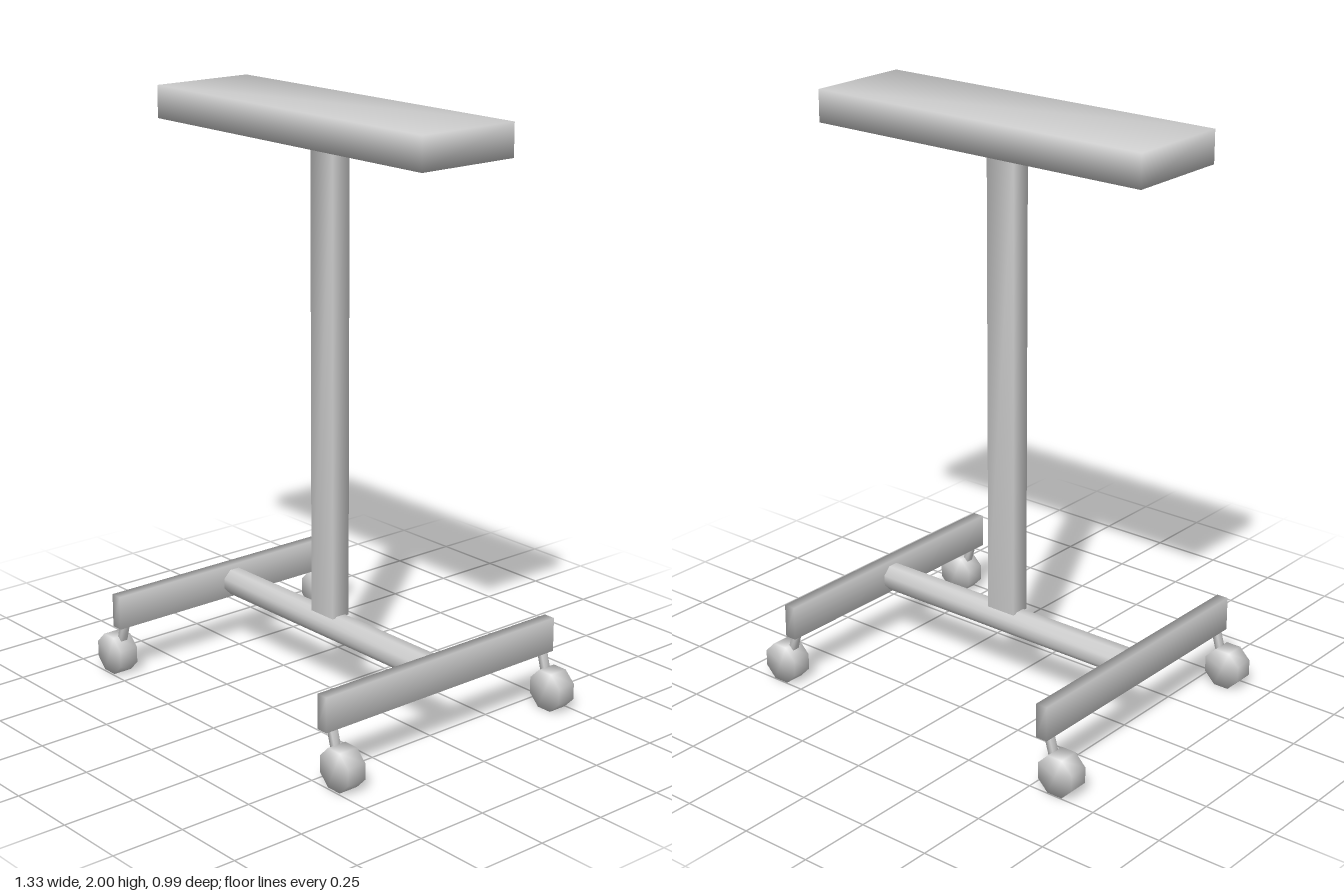
import * as THREE from 'three';
import { mergeVertices } from 'three/addons/utils/BufferGeometryUtils.js';

const material = new THREE.MeshStandardMaterial({ color: 0xcccccc });

// Weld all corners so the low-poly parts shade softly across their edges
function soften(geometry) {
  geometry.deleteAttribute('normal');
  geometry.deleteAttribute('uv');
  const welded = mergeVertices(geometry, 1e-4);
  welded.computeVertexNormals();
  return welded;
}

function part(name, geometry) {
  const mesh = new THREE.Mesh(soften(geometry), material);
  mesh.name = name;
  return mesh;
}

// Box given by its extents on each axis
function box(name, [x0, x1], [y0, y1], [z0, z1]) {
  const mesh = part(name, new THREE.BoxGeometry(x1 - x0, y1 - y0, z1 - z0));
  mesh.position.set((x0 + x1) / 2, (y0 + y1) / 2, (z0 + z1) / 2);
  return mesh;
}

// Upright octagonal prism with flat sides facing the axes
function octagon(halfWidth, length) {
  const radius = halfWidth / Math.cos(Math.PI / 8);
  return new THREE.CylinderGeometry(radius, radius, length, 8).rotateY(Math.PI / 8);
}

// Wheel on a thin stem leaning outward from the foot rail
function makeCaster(side, z) {
  const caster = new THREE.Group();
  caster.name = 'caster';

  const wheel = part('wheel', octagon(0.0665, 0.07).rotateX(Math.PI / 2));
  wheel.position.set(side * 0.597, 0.0665, z);

  const top = new THREE.Vector3(side * 0.543, 0.2, z);
  const bottom = new THREE.Vector3(side * 0.58, 0.07, z);
  const axis = top.clone().sub(bottom);
  const stem = part('stem', new THREE.BoxGeometry(0.02, axis.length(), 0.027));
  stem.position.copy(top).add(bottom).multiplyScalar(0.5);
  stem.quaternion.setFromUnitVectors(new THREE.Vector3(0, 1, 0), axis.normalize());

  caster.add(wheel, stem);
  return caster;
}

export function createModel() {
  const model = new THREE.Group();
  model.name = 'rollingTable';

  // Table top, slightly forward of the column
  model.add(box('tableTop', [-0.645, 0.645], [1.89, 2], [-0.175, 0.2]));
  model.add(box('column', [-0.055, 0.055], [0.275, 1.9], [-0.035, 0.035]));

  // Bar joining the two foot rails
  const bar = part('crossBar', octagon(0.045, 1.08).rotateZ(Math.PI / 2));
  bar.position.y = 0.235;
  model.add(bar);

  // Foot rails with a caster at each end
  for (const side of [-1, 1]) {
    const rail = box('footRail', [-0.021, 0.021], [0.18, 0.298], [-0.497, 0.495]);
    rail.position.x = side * 0.543;
    model.add(rail);
    for (const z of [-0.462, 0.458]) model.add(makeCaster(side, z));
  }
  return model;
}
